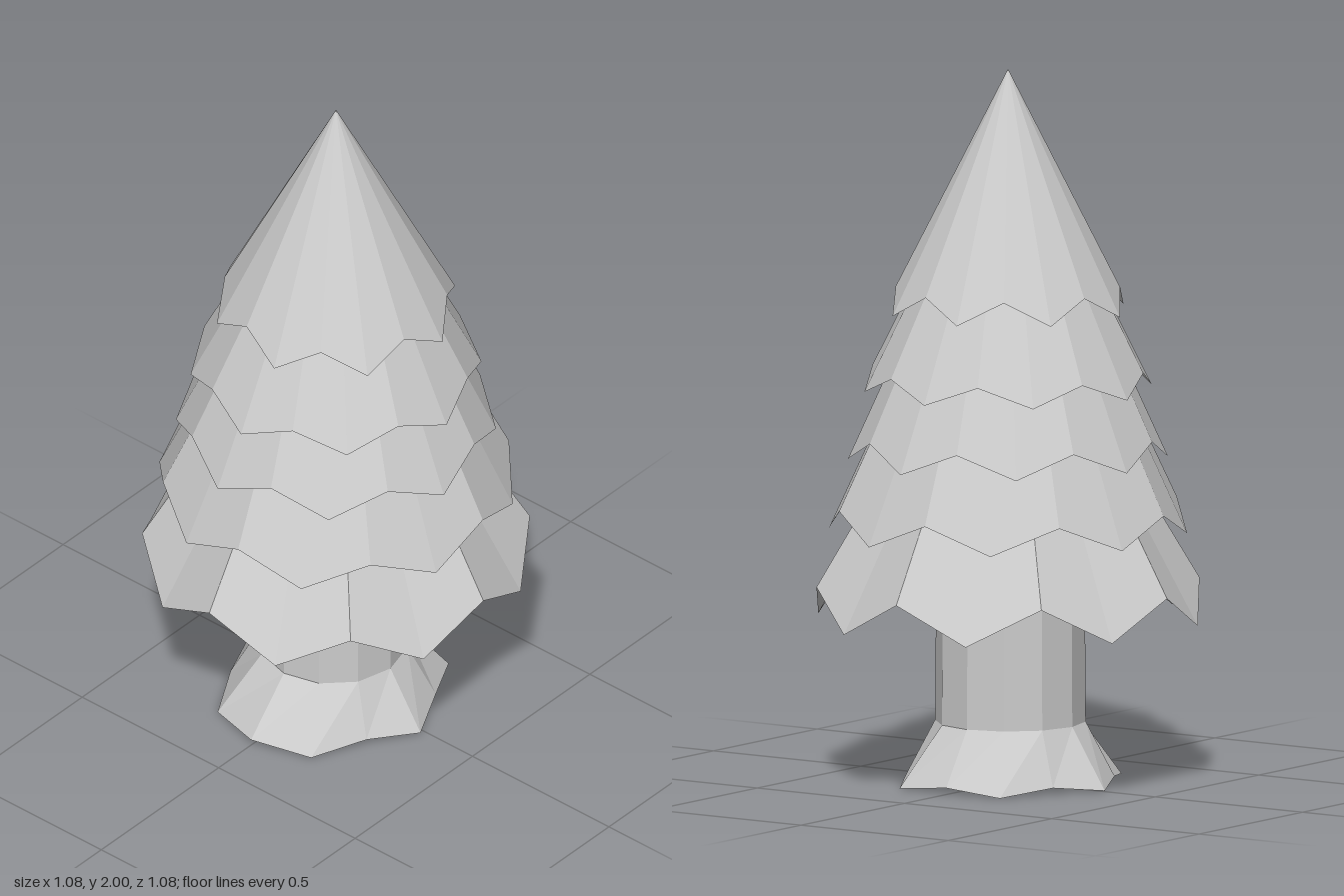
import * as THREE from 'three';

const material = new THREE.MeshStandardMaterial({
  color: 0xcccccc, flatShading: true, side: THREE.DoubleSide,
});

// Joins rings of equal point count, listed from bottom to top, into a faceted skin.
function loft(name, rings) {
  const pos = [];
  const tri = (...pts) => pts.forEach((p) => pos.push(...p));
  for (let k = 0; k < rings.length - 1; k++) {
    const lower = rings[k], upper = rings[k + 1], n = lower.length;
    for (let i = 0; i < n; i++) {
      const j = (i + 1) % n;
      tri(lower[i], lower[j], upper[j]);
      tri(lower[i], upper[j], upper[i]);
    }
  }
  const geometry = new THREE.BufferGeometry();
  geometry.setAttribute('position', new THREE.Float32BufferAttribute(pos, 3));
  geometry.computeVertexNormals();
  const mesh = new THREE.Mesh(geometry, material);
  mesh.name = name;
  return mesh;
}

// Ring around the y axis; angle 0 is the front, turning towards +x.
function ring(n, turn, radius, height) {
  return Array.from({ length: n }, (_, i) => {
    const a = THREE.MathUtils.degToRad(turn) + (i / n) * Math.PI * 2;
    const r = radius(i);
    return [r * Math.sin(a), height(i), r * Math.cos(a)];
  });
}

// Cone of foliage with a zigzag hem of eight points.
function foliageTier({ name, turn, rHigh, rLow, yHigh, yLow, apex }) {
  const sides = 16;
  const hem = ring(sides, turn, (i) => (i % 2 ? rLow : rHigh), (i) => (i % 2 ? yLow : yHigh));
  const tip = ring(sides, turn, () => 0.001, () => apex);
  return loft(name, [hem, tip]);
}

export function createModel() {
  const tree = new THREE.Group();
  tree.name = 'pineTree';

  // Foliage, from the bottom skirt to the pointed top
  const tiers = [
    { name: 'bottomFoliage', turn: 0, rHigh: 0.54, rLow: 0.54, yHigh: 0.56, yLow: 0.455, apex: 1.46 },
    { name: 'lowerFoliage', turn: 7, rHigh: 0.49, rLow: 0.5, yHigh: 0.78, yLow: 0.705, apex: 1.8 },
    { name: 'middleFoliage', turn: 15.5, rHigh: 0.425, rLow: 0.445, yHigh: 0.975, yLow: 0.91, apex: 1.89 },
    { name: 'upperFoliage', turn: 22.5, rHigh: 0.385, rLow: 0.405, yHigh: 1.16, yLow: 1.105, apex: 1.92 },
    { name: 'topFoliage', turn: -12, rHigh: 0.312, rLow: 0.342, yHigh: 1.39, yLow: 1.325, apex: 2 },
  ];
  tiers.forEach((tier) => tree.add(foliageTier(tier)));

  // Trunk with flared, uneven roots and a closed underside
  const rootRadii = [0.32, 0.29, 0.34, 0.31, 0.33, 0.28, 0.32, 0.29, 0.34, 0.35, 0.33, 0.28];
  const n = rootRadii.length;
  const neck = ring(n, 0, () => 0.21, () => 0.17);
  const base = ring(n, 0, (i) => rootRadii[i], (i) => (i % 2 ? 0.018 : 0));
  const centre = ring(n, 0, () => 0.001, () => 0.012);
  const roots = loft('roots', [centre, base, neck]);
  const trunk = loft('trunk', [neck, ring(n, 0, () => 0.205, () => 0.9)]);
  for (const part of [roots, trunk]) {
    part.position.x = -0.012;
    tree.add(part);
  }
  return tree;
}
